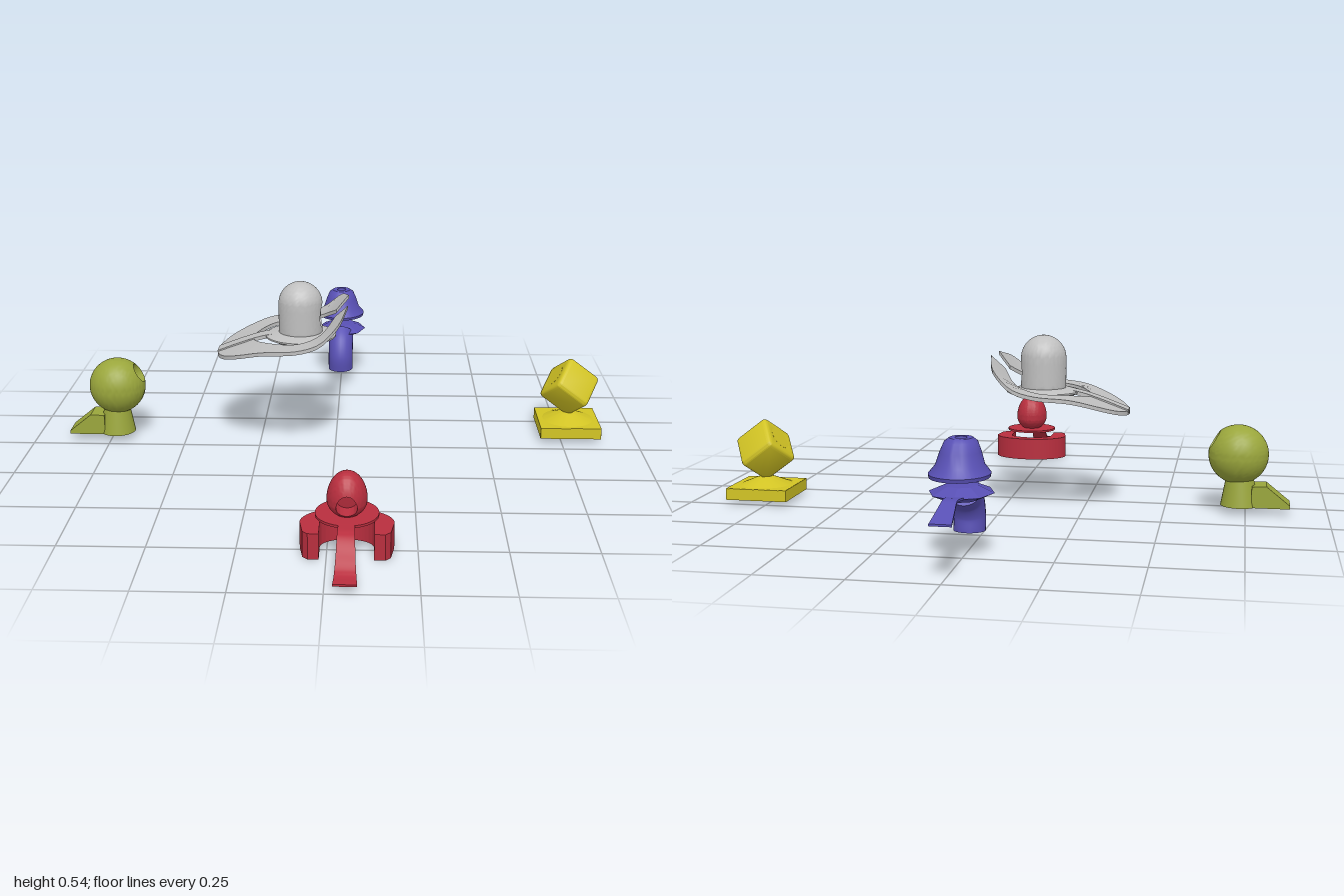
import * as THREE from 'three';
import { toCreasedNormals } from 'three/addons/utils/BufferGeometryUtils.js';

const V = (x, y, z) => new THREE.Vector3(x, y, z);

function mat(name, color) {
  const m = new THREE.MeshStandardMaterial({ color });
  m.name = name;
  return m;
}

function add(group, name, geometry, material, x = 0, y = 0, z = 0) {
  const mesh = new THREE.Mesh(geometry, material);
  mesh.name = name;
  mesh.position.set(x, y, z);
  group.add(mesh);
  return mesh;
}

function lathe(points, segments = 48) {
  const g = new THREE.LatheGeometry(points.map(p => new THREE.Vector2(...p)), segments);
  return toCreasedNormals(g, 0.6);
}

// Ball with a round pit facing a direction; an optional rule reshapes it
function pitBall(r, pit, depth, dir, warp) {
  const pts = [], end = Math.PI - Math.asin(pit / r);
  for (let i = 0; i <= 32; i++) {
    const a = end * i / 32;
    pts.push(new THREE.Vector2(r * Math.sin(a), -r * Math.cos(a)));
  }
  const rim = -r * Math.cos(end);
  pts.push(new THREE.Vector2(pit, rim - depth), new THREE.Vector2(0, rim - depth));
  const g = new THREE.LatheGeometry(pts, 48);
  g.applyQuaternion(new THREE.Quaternion().setFromUnitVectors(V(0, 1, 0), dir.normalize()));
  const p = g.attributes.position, v = V(0, 0, 0);
  for (let i = 0; warp && i < p.count; i++) {
    warp(v.fromBufferAttribute(p, i));
    p.setXYZ(i, v.x, v.y, v.z);
  }
  return toCreasedNormals(g, 0.6);
}

// Thin solid band between matching edge points a and b
function ribbon(a, b, thick) {
  const pos = [], idx = [], n = a.length, h = thick / 2;
  for (let i = 0; i < n; i++) {
    pos.push(a[i].x, a[i].y + h, a[i].z, b[i].x, b[i].y + h, b[i].z,
      b[i].x, b[i].y - h, b[i].z, a[i].x, a[i].y - h, a[i].z);
    for (let j = 0; i < n - 1 && j < 4; j++) {
      const p = i * 4 + j, q = i * 4 + (j + 1) % 4;
      idx.push(p, p + 4, q + 4, p, q + 4, q);
    }
  }
  const e = (n - 1) * 4;
  idx.push(0, 1, 2, 0, 2, 3, e, e + 2, e + 1, e, e + 3, e + 2);
  const g = new THREE.BufferGeometry();
  g.setAttribute('position', new THREE.Float32BufferAttribute(pos, 3));
  g.setIndex(idx);
  return toCreasedNormals(g, 0.6);
}

// Tail running along z; points are [z, y, half width], side is the running direction
function tail(points, side) {
  const c = new THREE.CatmullRomCurve3(points.map(([z, y, w]) => V(w, y, z))).getPoints(24);
  return ribbon(c.map(p => V(-side * p.x, p.y, p.z)), c.map(p => V(side * p.x, p.y, p.z)), 0.006);
}

function redPiece(m) {
  const g = new THREE.Group();
  g.name = 'redPiece';
  // Horseshoe base, open to the front
  const s = new THREE.Shape();
  s.moveTo(0.13, 0);
  s.absellipse(0, 0, 0.13, 0.09, 0, Math.PI, false);
  s.lineTo(-0.12, -0.06);
  s.lineTo(-0.105, -0.075);
  s.lineTo(-0.075, -0.075);
  s.lineTo(-0.075, 0);
  s.absellipse(0, 0, 0.075, 0.05, Math.PI, 0, true);
  s.lineTo(0.075, -0.075);
  s.lineTo(0.105, -0.075);
  s.lineTo(0.12, -0.06);
  const base = new THREE.ExtrudeGeometry(s, { depth: 0.077, bevelEnabled: false, curveSegments: 32 });
  base.rotateX(-Math.PI / 2);
  add(g, 'horseshoeBase', toCreasedNormals(base, 0.6), m);
  add(g, 'plate', new THREE.CylinderGeometry(0.088, 0.088, 0.007, 48), m, 0, 0.104, 0);
  add(g, 'egg', pitBall(0.056, 0.029, 0.04, V(0, -0.2, 1), v => { v.y *= v.y > 0 ? 1.45 : 0.9; }), m, 0, 0.15, 0.005);
  add(g, 'tail', tail([[0.075, 0.105, 0.022], [0.13, 0.1, 0.024], [0.18, 0.06, 0.026],
    [0.22, 0.03, 0.029], [0.265, 0.025, 0.032]], 1), m);
  g.position.set(0.055, 0, 0.735);
  return g;
}

function whitePiece(m) {
  const g = new THREE.Group();
  g.name = 'whitePiece';
  add(g, 'dome', pitBall(0.071, 0.027, 0.035, V(1, -0.4, 0), v => {
    if (v.y >= 0) return;
    const k = 1 / Math.max(0.5, Math.sqrt(Math.max(0, 1 - (v.y / 0.071) ** 2)));
    v.set(v.x * k, v.y * 1.6, v.z * k);
  }), m, -0.115, 0.47, -0.07);
  add(g, 'brim', lathe([[0, 0.35], [0.09, 0.35], [0.115, 0.362], [0.115, 0.367], [0.08, 0.376], [0, 0.382]]),
    m, -0.115, 0, -0.07);
  // Open wing ring whose height follows x
  const line = new THREE.SplineCurve([[-0.39, 0.303], [-0.3, 0.337], [-0.22, 0.36], [-0.12, 0.37],
    [-0.05, 0.39], [0, 0.432], [0.042, 0.477]].map(p => new THREE.Vector2(...p))).getPoints(60);
  const height = x => {
    const i = Math.min(60, Math.max(1, line.findIndex(p => p.x >= x)));
    const a = line[i - 1], b = line[i];
    return a.y + (b.y - a.y) * (x - a.x) / (b.x - a.x);
  };
  const edge = half => {
    const back = half.map(([x, z]) => V(x, 0, z));
    const front = half.slice(0, -1).reverse().map(([x, z]) => V(x, 0, -0.14 - z));
    const pts = new THREE.CatmullRomCurve3([...back, ...front]).getPoints(60);
    pts.forEach(p => { p.y = height(p.x); });
    return pts;
  };
  add(g, 'wingRing', ribbon(
    edge([[0.04, -0.135], [0, -0.27], [-0.12, -0.293], [-0.25, -0.262], [-0.35, -0.185], [-0.387, -0.07]]),
    edge([[0, -0.107], [-0.045, -0.187], [-0.115, -0.218], [-0.2, -0.19], [-0.255, -0.125], [-0.268, -0.07]]),
    0.012), m);
  const strap = z => Array.from({ length: 13 }, (_, i) => {
    const x = -0.385 + i * 0.017;
    return V(x, height(x) + 0.004, z);
  });
  add(g, 'strap', ribbon(strap(-0.043), strap(-0.097), 0.012), m);
  return g;
}

function bluePiece(m) {
  const g = new THREE.Group();
  g.name = 'bluePiece';
  // Bell hat with a dimple on top, leaning slightly
  const bell = lathe([[0, 0.232], [0.082, 0.23], [0.084, 0.24], [0.066, 0.262], [0.056, 0.295],
    [0.045, 0.322], [0.032, 0.332], [0.016, 0.332], [0.014, 0.315], [0, 0.312]], 40);
  bell.scale(1, 1, 1.13);
  const p = bell.attributes.position;
  for (let i = 0; i < p.count; i++) p.setZ(i, p.getZ(i) + (p.getY(i) - 0.23) * 0.2);
  add(g, 'bellHat', bell, m, 0, 0, -0.773);
  const saucer = new THREE.LatheGeometry([[0, 0.16], [0.05, 0.165], [0.09, 0.183], [0.045, 0.203], [0, 0.205]]
    .map(q => new THREE.Vector2(...q)), 8).toNonIndexed();
  saucer.scale(1, 1, 1.13);
  saucer.computeVertexNormals();
  add(g, 'saucer', saucer, m, 0, 0, -0.748);
  add(g, 'tail', tail([[-0.83, 0.183], [-0.89, 0.188], [-0.94, 0.172], [-1, 0.152]]
    .map(([z, y], i) => [z, y, [0.024, 0.02, 0.024, 0.03][i]]), -1), m);
  // Curved leg with closed ends
  const c = new THREE.CatmullRomCurve3([V(0, 0.175, -0.705), V(0, 0.145, -0.67), V(0, 0.1, -0.65), V(0, 0.054, -0.652)]);
  add(g, 'leg', new THREE.TubeGeometry(c, 24, 0.045, 24), m);
  for (const [t, k] of [[0, -1], [1, 1]]) {
    const at = c.getPoint(t), cap = add(g, 'legCap', new THREE.CircleGeometry(0.045, 24), m, at.x, at.y, at.z);
    cap.quaternion.setFromUnitVectors(V(0, 0, 1), c.getTangent(t).multiplyScalar(k));
  }
  return g;
}

function greenPiece(m) {
  const g = new THREE.Group();
  g.name = 'greenPiece';
  add(g, 'ball', pitBall(0.092, 0.034, 0.045, V(0.84, 0.5, 0), v => { v.z *= 0.92; }), m, 0.003, 0.182, 0);
  add(g, 'neck', new THREE.CylinderGeometry(0.04, 0.058, 0.1, 40), m, -0.003, 0.072, 0);
  // Sloping foot
  const s = new THREE.Shape([[-0.157, 0.022], [-0.04, 0.022], [-0.04, 0.088], [-0.085, 0.09], [-0.157, 0.032]]
    .map(q => new THREE.Vector2(...q)));
  add(g, 'foot', new THREE.ExtrudeGeometry(s, { depth: 0.08, bevelEnabled: false }), m, 0, 0, -0.04);
  g.position.set(-0.728, 0, -0.07);
  return g;
}

function square(h, r) {
  const s = new THREE.Shape(), c = h - r;
  [[c, c], [-c, c], [-c, -c], [c, -c]].forEach(([x, y], i) =>
    s.absarc(x, y, r, i * Math.PI / 2, (i + 1) * Math.PI / 2, false));
  return s;
}

function yellowPiece(m) {
  const g = new THREE.Group();
  g.name = 'yellowPiece';
  // Hollow square base with a low cone on top
  const wall = square(0.1, 0.002);
  wall.holes.push(square(0.085, 0.002));
  const frame = new THREE.ExtrudeGeometry(wall, { depth: 0.036, bevelEnabled: false, curveSegments: 2 });
  frame.rotateX(-Math.PI / 2);
  add(g, 'baseFrame', frame, m, 0, 0.014, 0);
  add(g, 'baseTop', new THREE.BoxGeometry(0.198, 0.006, 0.198), m, 0, 0.0475, 0);
  add(g, 'mound', lathe([[0.085, 0.05], [0.06, 0.06], [0.03, 0.072], [0, 0.08]]), m);
  // Rounded cube balanced on a corner, with a pit in one lower face
  const cube = new THREE.Group();
  cube.name = 'cube';
  const face = square(0.0505, 0.006);
  face.holes.push(new THREE.Path().absarc(0, 0, 0.036, 0, Math.PI * 2, true));
  const block = new THREE.ExtrudeGeometry(face, { depth: 0.101, bevelThickness: 0.012, bevelSize: 0.012, bevelSegments: 4, curveSegments: 24 });
  block.translate(0, 0, -0.0505);
  add(cube, 'cubeShell', toCreasedNormals(block, 0.5), m);
  const plug = new THREE.CylinderGeometry(0.038, 0.038, 0.083, 40);
  plug.rotateX(Math.PI / 2);
  add(cube, 'pitFloor', plug, m, 0, 0, -0.0213);
  const a = V(0.8, -0.6, 0), p = V(0.6, 0.8, 0), z = V(0, 0, 1);
  cube.quaternion.setFromRotationMatrix(new THREE.Matrix4().makeBasis(
    p.clone().add(z).normalize(), z.clone().sub(p).normalize(), a));
  cube.position.set(0, 0.163, 0);
  g.add(cube);
  g.position.set(0.78, 0, -0.155);
  return g;
}

export function createModel() {
  const model = new THREE.Group();
  model.name = 'fivePieces';
  model.add(
    redPiece(mat('red', 0xb82e3e)),
    whitePiece(mat('lightGrey', 0xc0c0c0)),
    bluePiece(mat('blue', 0x5850b4)),
    greenPiece(mat('oliveGreen', 0x9aa63c)),
    yellowPiece(mat('yellow', 0xd2c424)));
  return model;
}
